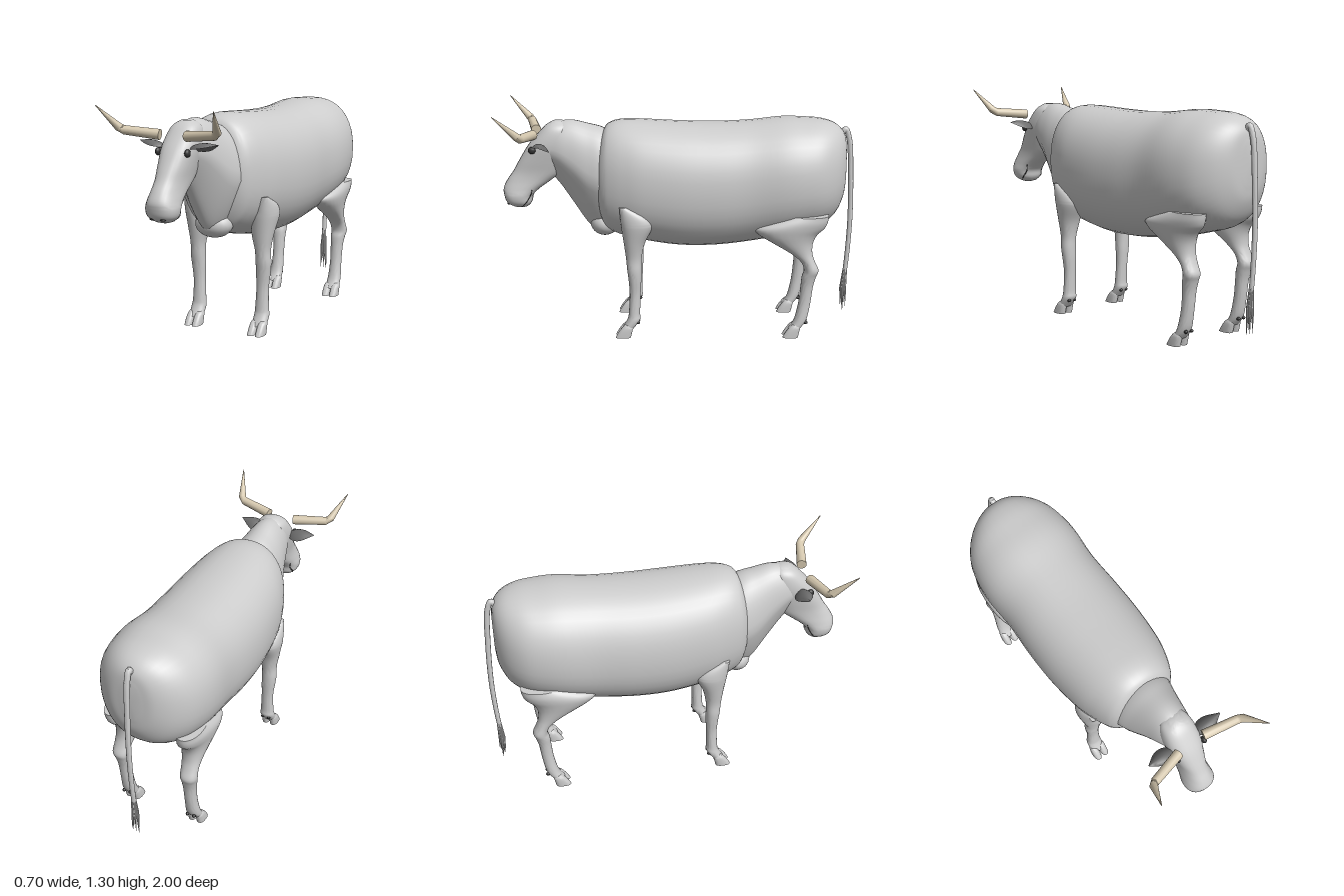
import * as THREE from 'three';
import { toCreasedNormals } from 'three/addons/utils/BufferGeometryUtils.js';

const V = (x, y, z) => new THREE.Vector3(x, y, z);
const mat = (name, color) => Object.assign(new THREE.MeshStandardMaterial({ color }), { name });

// Resample a table of cross-section sizes smoothly into n rows
function smooth(rows, n) {
  const size = rows[0].length;
  const curve = new THREE.CubicInterpolant(rows.map((_, i) => i), rows.flat(), size, new Float32Array(size));
  return Array.from({ length: n }, (_, i) => Array.from(curve.evaluate((i / (n - 1)) * (rows.length - 1))));
}

// Closed skin over rings of points, always facing outwards
function loft(rings, crease = 0.9) {
  const n = rings[0].length, pos = [], idx = [];
  rings.forEach(r => r.forEach(p => pos.push(p.x, p.y, p.z)));
  for (let i = 0; i < rings.length - 1; i++) {
    for (let j = 0; j < n; j++) {
      const a = i * n + j, b = i * n + (j + 1) % n;
      idx.push(a, b, a + n, b, b + n, a + n);
    }
  }
  [0, rings.length - 1].forEach((k, end) => {
    const c = rings[k].reduce((s, p) => s.add(p), V(0, 0, 0)).divideScalar(n);
    const ci = pos.length / 3;
    pos.push(c.x, c.y, c.z);
    for (let j = 0; j < n; j++) {
      const a = k * n + j, b = k * n + (j + 1) % n;
      if (end) idx.push(a, b, ci); else idx.push(b, a, ci);
    }
  });
  const at = i => V(pos[3 * i], pos[3 * i + 1], pos[3 * i + 2]);
  let volume = 0;
  for (let i = 0; i < idx.length; i += 3) volume += at(idx[i]).dot(at(idx[i + 1]).cross(at(idx[i + 2])));
  if (volume < 0) idx.reverse();
  const g = new THREE.BufferGeometry();
  g.setAttribute('position', new THREE.Float32BufferAttribute(pos, 3));
  g.setIndex(idx);
  return toCreasedNormals(g, crease);
}

// Superellipse outline as [u, v] pairs from -1 to 1
function outline(n, e) {
  return Array.from({ length: n }, (_, i) => {
    const a = (i / n) * Math.PI * 2, f = t => Math.sign(t) * Math.abs(t) ** (2 / e);
    return [f(Math.cos(a)), f(Math.sin(a))];
  });
}

// Rows of [z, top, bottom, halfWidth]; taper narrows the underside
const alongZ = (rows, n, e, taper = 0) => loft(smooth(rows, n).map(([z, t, b, w]) =>
  outline(40, e).map(([u, v]) => V(u * w * (1 - taper * Math.max(0, -v)), (t + b) / 2 + v * (t - b) / 2, z))));

// Rows of [y, front, back, inner, outer]; s mirrors left and right
const alongY = (rows, n, e, s = 1) => loft(smooth(rows, n).map(([y, f, b, i, o]) =>
  outline(28, e).map(([u, v]) => V(s * ((i + o) / 2 + u * (o - i) / 2), y, (f + b) / 2 + v * (f - b) / 2))));

// Round tapered limb through points
function taperedTube(points, radii, ref, n = 16) {
  return loft(points.map((p, i) => {
    const d = points[Math.min(i + 1, points.length - 1)].clone().sub(points[Math.max(i - 1, 0)]).normalize();
    const a = ref.clone().cross(d).normalize(), b = d.clone().cross(a);
    return outline(n, 2).map(([u, v]) => p.clone().addScaledVector(a, u * radii[i]).addScaledVector(b, v * radii[i]));
  }), 0.6);
}

const BODY = [
  [-0.945, 1.08, 0.86, 0.05], [-0.93, 1.15, 0.77, 0.13], [-0.88, 1.2, 0.675, 0.21], [-0.8, 1.225, 0.62, 0.272],
  [-0.7, 1.232, 0.59, 0.303], [-0.58, 1.234, 0.56, 0.313], [-0.4, 1.215, 0.525, 0.302], [-0.2, 1.206, 0.503, 0.31],
  [0, 1.21, 0.503, 0.308], [0.2, 1.22, 0.53, 0.287], [0.31, 1.222, 0.555, 0.258], [0.38, 1.208, 0.58, 0.23],
  [0.42, 1.175, 0.61, 0.205], [0.45, 1.09, 0.69, 0.165], [0.46, 1.0, 0.8, 0.1]];
const NECK = [
  [0.34, 1.13, 0.62, 0.18], [0.43, 1.178, 0.575, 0.182], [0.51, 1.2, 0.61, 0.16], [0.6, 1.22, 0.74, 0.13],
  [0.67, 1.212, 0.845, 0.11], [0.74, 1.175, 0.93, 0.085]];
const HEAD = [
  [1.215, 0.71, 0.65, 0.03], [1.19, 0.75, 0.62, 0.07], [1.15, 0.79, 0.61, 0.088], [1.08, 0.85, 0.61, 0.095],
  [1.0, 0.9, 0.63, 0.085], [0.93, 0.94, 0.66, 0.074], [0.88, 0.975, 0.72, 0.073], [0.83, 1.0, 0.79, 0.08],
  [0.79, 0.998, 0.83, 0.087], [0.75, 0.985, 0.84, 0.078], [0.725, 0.95, 0.86, 0.05], [0.715, 0.92, 0.89, 0.02]];
const FORELEG = [
  [0.045, 0.325, 0.262, 0.162, 0.248], [0.1, 0.295, 0.222, 0.162, 0.248], [0.14, 0.286, 0.222, 0.165, 0.243],
  [0.25, 0.28, 0.218, 0.17, 0.24], [0.34, 0.285, 0.213, 0.168, 0.25], [0.4, 0.292, 0.212, 0.168, 0.255],
  [0.47, 0.298, 0.21, 0.165, 0.253], [0.56, 0.31, 0.19, 0.145, 0.268], [0.65, 0.322, 0.148, 0.15, 0.285],
  [0.69, 0.325, 0.15, 0.17, 0.286], [0.73, 0.328, 0.19, 0.19, 0.28], [0.775, 0.33, 0.29, 0.23, 0.265]];
const HINDLEG = [
  [0.045, -0.625, -0.69, 0.162, 0.248], [0.1, -0.658, -0.728, 0.165, 0.246], [0.2, -0.68, -0.748, 0.17, 0.24],
  [0.3, -0.69, -0.76, 0.168, 0.243], [0.36, -0.695, -0.775, 0.164, 0.252], [0.4, -0.705, -0.787, 0.162, 0.26],
  [0.45, -0.685, -0.765, 0.16, 0.258], [0.5, -0.625, -0.75, 0.15, 0.262], [0.56, -0.525, -0.752, 0.135, 0.275],
  [0.61, -0.445, -0.775, 0.13, 0.287], [0.65, -0.42, -0.815, 0.13, 0.294], [0.685, -0.5, -0.83, 0.14, 0.293],
  [0.72, -0.6, -0.835, 0.15, 0.283]];

export function createModel() {
  const model = new THREE.Group();
  const hide = mat('grey hide', 0xcccccc), horn = mat('horn beige', 0xd6c9b0);
  const dark = mat('dark ear grey', 0x6c6c6c), black = mat('eye black', 0x333333);
  const add = (name, geometry, material) => {
    const m = new THREE.Mesh(geometry, material);
    m.name = name;
    model.add(m);
    return m;
  };
  const ball = (name, material, p, s) => {
    const m = add(name, new THREE.SphereGeometry(1, 20, 14), material);
    m.position.copy(p);
    m.scale.copy(s);
  };

  // Trunk, neck with dewlap, brisket and head
  add('body', alongZ(BODY, 70, 2.25), hide);
  add('neck', alongZ(NECK, 30, 2, 0.45), hide);
  ball('brisket', hide, V(0, 0.625, 0.425), V(0.11, 0.075, 0.085));
  add('head', alongY(HEAD.map(([y, f, b, w]) => [y, f, b, -w, w]), 48, 2.4), hide);

  for (const s of [1, -1]) {
    const side = s > 0 ? 'left' : 'right';
    ball(side + 'Eye', black, V(s * 0.088, 1.062, 0.822), V(0.014, 0.021, 0.021));
    ball(side + 'Nostril', black, V(s * 0.032, 0.742, 0.965), V(0.016, 0.008, 0.015));

    // Mouth line
    const mouth = new THREE.CatmullRomCurve3([V(s * 0.068, 0.83, 0.83), V(s * 0.058, 0.79, 0.845),
      V(s * 0.068, 0.75, 0.87), V(s * 0.05, 0.726, 0.9)]);
    add(side + 'Mouth', new THREE.TubeGeometry(mouth, 16, 0.003, 6), black);

    // Horn with a bend and a pointed end
    add(side + 'Horn', taperedTube([V(s * 0.08, 1.147, 0.815), V(s * 0.27, 1.165, 0.86), V(s * 0.293, 1.18, 0.875),
      V(s * 0.346, 1.298, 0.995)], [0.028, 0.024, 0.022, 0.002], V(0, 0, 1), 20), horn);

    // Cupped leaf ear
    const ear = smooth([[0.075, 0.02, 1.085], [0.12, 0.045, 1.1], [0.17, 0.042, 1.107], [0.236, 0.003, 1.106]], 14);
    add(side + 'Ear', loft(ear.map(([x, w, y]) => outline(20, 2).map(([u, v]) =>
      V(s * x, y + 0.25 * u * w - 0.028 * u * u * (w / 0.045) + v * w * 0.14, 0.768 + u * w)))), dark);

    // Legs with cloven hooves and dewclaws
    for (const [label, rows, z, claw] of [['Front', FORELEG, 0, 0.235], ['Hind', HINDLEG, -0.955, -0.722]]) {
      add(side + label + 'Leg', alongY(rows, 48, 2.15, s), hide);
      for (const k of [-1, 1]) {
        const c = 0.205 + k * 0.025;
        add(side + label + 'Hoof', alongY([
          [0, z + 0.362, z + 0.275, c - 0.023, c + 0.023], [0.03, z + 0.345, z + 0.268, c - 0.023, c + 0.023],
          [0.06, z + 0.322, z + 0.262, c - 0.021, c + 0.021], [0.075, z + 0.305, z + 0.265, c - 0.014, c + 0.014]],
          8, 2.5, s), hide);
        ball(side + label + 'Dewclaw', black, V(s * (0.205 + k * 0.02), 0.088, claw), V(0.01, 0.01, 0.013));
      }
    }
  }

  // Tail and its tuft of strands
  const path = new THREE.CatmullRomCurve3([V(0, 1.13, -0.915), V(0, 1.165, -0.94), V(0, 1.11, -0.963),
    V(0, 0.9, -0.98), V(0, 0.65, -0.987), V(0, 0.45, -0.98), V(0, 0.28, -0.967)]).getPoints(40);
  add('tail', taperedTube(path, path.map((_, i) => 0.017 - 0.004 * i / 40), V(1, 0, 0)), hide);
  for (let i = 0; i < 9; i++) {
    const a = i * 2.4, r = i ? 1 : 0, x = Math.cos(a) * r, z = Math.sin(a) * r;
    add('tailTuft', taperedTube([V(x * 0.006, 0.35, -0.972 + z * 0.006), V(x * 0.014, 0.22, -0.963 + z * 0.012),
      V(x * 0.021, 0.085 + (i % 4) * 0.025, -0.965 + z * 0.017)], [0.006, 0.008, 0.001], V(1, 0, 0), 8), hide);
  }
  return model;
}
